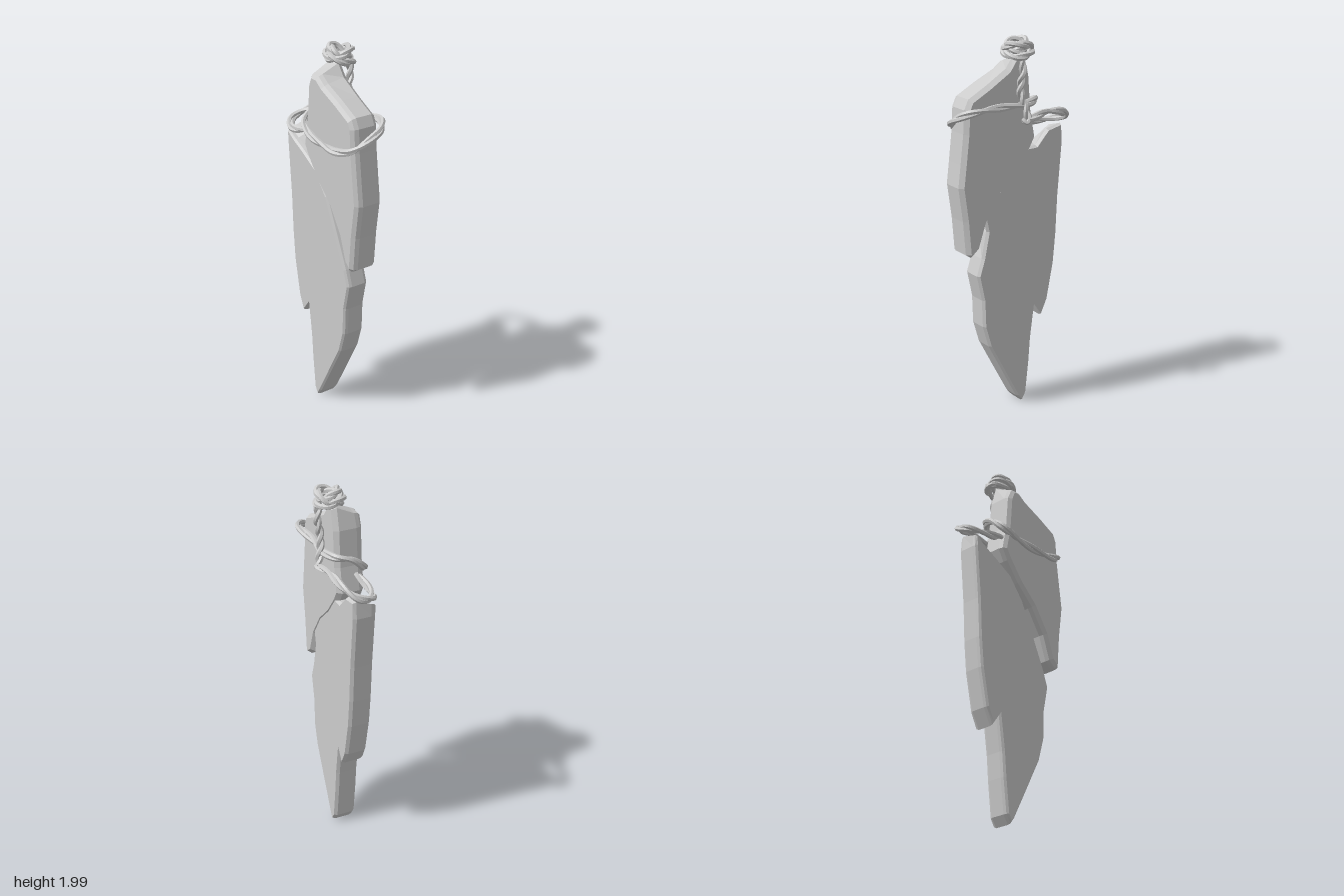
import * as THREE from 'three';

const material = new THREE.MeshStandardMaterial({ color: 0xcccccc, flatShading: true, side: THREE.DoubleSide });

// Moves every corner of a counter-clockwise outline inwards
function inset(points, d) {
  const n = points.length;
  return points.map((p, i) => {
    const a = points[(i + n - 1) % n], b = points[(i + 1) % n];
    const t = new THREE.Vector2().subVectors(b, a).normalize();
    return new THREE.Vector2(p.x - t.y * d, p.y + t.x * d);
  });
}

// Stone slab lofted from a front outline to a back outline, with chamfered rims.
// Each row is [x, y] or [x, y, backX, backY].
function slab(name, rows, zFront, zBack, rim, depth) {
  const front = rows.map(r => new THREE.Vector2(r[0], r[1]));
  const back = rows.map(r => new THREE.Vector2(r[2] ?? r[0], r[3] ?? r[1]));
  const rings = [
    [inset(front, rim), zFront],
    [inset(front, rim * 0.3), zFront - depth * 0.4],
    [front, zFront - depth],
    [back, zBack + depth * 0.7],
    [inset(back, rim * 0.7), zBack],
  ];
  const n = rows.length, pos = [], index = [];
  rings.forEach(([pts, z]) => pts.forEach(p => pos.push(p.x, p.y, z)));
  for (let r = 0; r < rings.length - 1; r++) {
    for (let i = 0; i < n; i++) {
      const a = r * n + i, b = r * n + (i + 1) % n;
      index.push(a, a + n, b, b, a + n, b + n);
    }
  }
  const last = (rings.length - 1) * n;
  THREE.ShapeUtils.triangulateShape(rings[0][0], []).forEach(f => index.push(f[0], f[1], f[2]));
  THREE.ShapeUtils.triangulateShape(rings[rings.length - 1][0], [])
    .forEach(f => index.push(last + f[0], last + f[2], last + f[1]));
  const geo = new THREE.BufferGeometry();
  geo.setAttribute('position', new THREE.Float32BufferAttribute(pos, 3));
  geo.setIndex(index);
  geo.computeVertexNormals();
  const mesh = new THREE.Mesh(geo, material);
  mesh.name = name;
  return mesh;
}

// Cord of two strands twisted round a path
function cord(name, points, closed, twists, segments) {
  const path = new THREE.CatmullRomCurve3(points.map(p => new THREE.Vector3(...p)), closed);
  const frames = path.computeFrenetFrames(segments, closed);
  const group = new THREE.Group();
  group.name = name;
  for (let s = 0; s < 2; s++) {
    const pts = [];
    for (let i = 0; i < segments + (closed ? 0 : 1); i++) {
      const a = (i / segments) * twists * Math.PI * 2 + s * Math.PI;
      pts.push(path.getPointAt(i / segments)
        .addScaledVector(frames.normals[i], Math.cos(a) * 0.009)
        .addScaledVector(frames.binormals[i], Math.sin(a) * 0.009));
    }
    const curve = new THREE.CatmullRomCurve3(pts, closed);
    const mesh = new THREE.Mesh(new THREE.TubeGeometry(curve, segments * 2, 0.0125, 6, closed), material);
    mesh.name = name + 'Strand';
    group.add(mesh);
  }
  return group;
}

export function createModel() {
  const model = new THREE.Group();
  model.name = 'boundStoneShards';

  // Long lower shard; its upper edge slopes back beneath the other shard
  model.add(slab('lowerShard', [
    [-0.05, 0.005], [-0.02, 0.04], [0.06, 0.19], [0.16, 0.38], [0.195, 0.5], [0.2, 0.65],
    [0.23, 0.79], [0.2, 0.88], [0.155, 0.98, 0.17, 1.02], [0.11, 1.08, 0.2, 1.15],
    [0.04, 1.23, 0.17, 1.3], [-0.05, 1.345, 0.06, 1.42], [-0.17, 1.415, -0.14, 1.42],
    [-0.24, 1.45, -0.21, 1.495], [-0.305, 1.485, -0.3, 1.51],
    [-0.31, 1.42], [-0.285, 1.13], [-0.275, 0.92], [-0.26, 0.76], [-0.22, 0.56],
    [-0.175, 0.475], [-0.135, 0.55], [-0.11, 0.36], [-0.1, 0.23], [-0.08, 0.05],
  ], 0.075, -0.045, 0.014, 0.025));

  // Thicker upper shard with a slanted, chamfered top
  model.add(slab('upperShard', [
    [0.265, 0.9], [0.295, 0.92], [0.31, 1.1], [0.335, 1.28], [0.32, 1.4], [0.302, 1.55],
    [0.295, 1.67], [0.27, 1.72], [0.16, 1.775], [0.045, 1.825, 0.045, 1.84],
    [-0.005, 1.86, 0.0, 1.9], [-0.065, 1.855, -0.065, 1.9], [-0.095, 1.79], [-0.11, 1.6],
    [-0.135, 1.47], [-0.1, 1.405], [-0.02, 1.3], [0.085, 1.2], [0.17, 1.07], [0.215, 0.94],
  ], 0.1, -0.05, 0.028, 0.035));

  // Cord tied round the upper shard
  model.add(cord('waistCord', [
    [-0.14, 1.65, 0.02], [-0.125, 1.59, 0.09], [-0.04, 1.545, 0.115], [0.08, 1.53, 0.118],
    [0.18, 1.53, 0.118], [0.28, 1.56, 0.1], [0.322, 1.61, 0.03], [0.315, 1.65, -0.05],
    [0.25, 1.67, -0.095], [0.1, 1.665, -0.08], [-0.03, 1.66, -0.08], [-0.12, 1.665, -0.05],
  ], true, 3, 56));

  // Empty loop standing out over the lower shard
  model.add(cord('sideLoop', [
    [-0.03, 1.59, -0.11], [-0.07, 1.6, -0.118], [-0.16, 1.605, -0.095], [-0.26, 1.59, -0.085],
    [-0.325, 1.55, -0.035], [-0.325, 1.525, 0.03], [-0.26, 1.51, 0.078], [-0.18, 1.52, 0.08],
    [-0.11, 1.55, 0.06],
  ], false, 2, 40));

  // Hanging cord at the back, from the top knot to the side loop
  model.add(cord('backCord', [
    [0.0, 1.92, -0.09], [-0.005, 1.83, -0.1], [0.0, 1.74, -0.085], [-0.02, 1.65, -0.095],
    [-0.03, 1.58, -0.11], [-0.01, 1.585, -0.09],
  ], false, 3, 30));

  // Knot of tilted rings on the top
  const knot = new THREE.Group();
  knot.name = 'topKnot';
  [[1.925, -0.25, -0.15, 0.068], [1.945, 0.35, 0.2, 0.062], [1.955, -0.35, -0.3, 0.05]].forEach(([y, rx, rz, r]) => {
    const pts = [];
    for (let i = 0; i < 10; i++) {
      const a = (i / 10) * Math.PI * 2;
      pts.push([Math.cos(a) * r, 0, Math.sin(a) * r * 0.95]);
    }
    const ring = cord('knotRing', pts, true, 2, 24);
    ring.position.set(-0.015, y, -0.043);
    ring.rotation.set(rx, 0, rz);
    knot.add(ring);
  });
  model.add(knot);

  return model;
}
